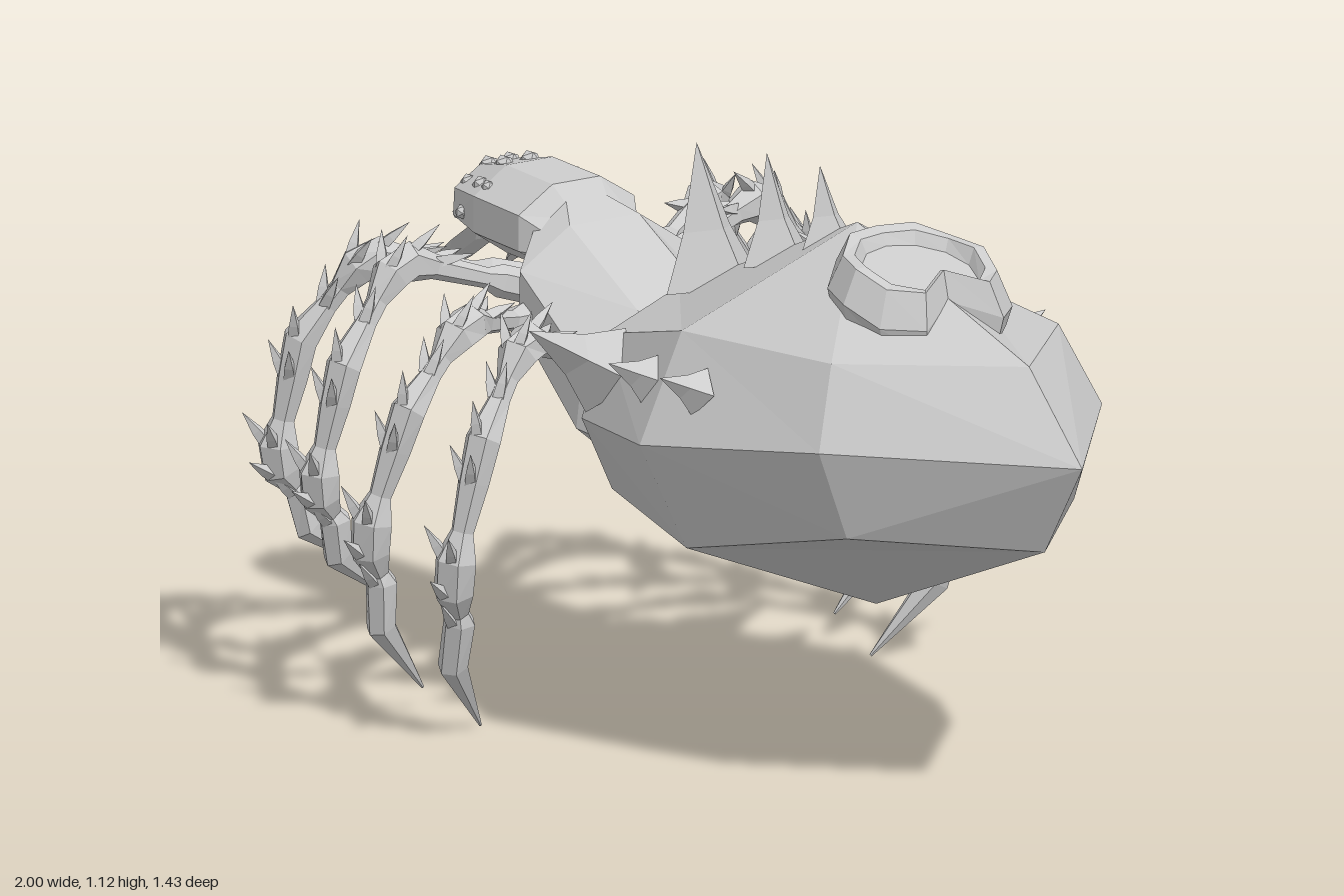
import * as THREE from 'three';

const V = (x, y, z) => new THREE.Vector3(x, y, z);
const material = new THREE.MeshStandardMaterial({ color: 0xcccccc, flatShading: true });

function add(parent, name, geometry) {
  const mesh = new THREE.Mesh(geometry, material);
  mesh.name = name;
  parent.add(mesh);
  return mesh;
}

// Closed faceted skin through equal-sized rings of points, wound outwards
function loft(rings) {
  const tris = [];
  const n = rings[0].length;
  for (let i = 0; i < rings.length - 1; i++) {
    for (let j = 0; j < n; j++) {
      const k = (j + 1) % n;
      const a = rings[i][j], b = rings[i][k], c = rings[i + 1][k], d = rings[i + 1][j];
      tris.push([a, b, c], [a, c, d]);
    }
  }
  const cap = (ring, flip) => {
    const mid = ring.reduce((s, p) => s.add(p), V(0, 0, 0)).divideScalar(n);
    ring.forEach((p, j) => {
      const q = ring[(j + 1) % n];
      tris.push(flip ? [mid, q, p] : [mid, p, q]);
    });
  };
  cap(rings[0], true);
  cap(rings[rings.length - 1], false);
  const origin = rings[0][0];
  let volume = 0;
  for (const t of tris) {
    const [a, b, c] = t.map(p => p.clone().sub(origin));
    volume += a.dot(b.cross(c));
  }
  const points = tris.flatMap(t => (volume < 0 ? [t[0], t[2], t[1]] : t));
  const geometry = new THREE.BufferGeometry().setFromPoints(points);
  geometry.computeVertexNormals();
  return geometry;
}

// Octagonal section spanning a top and a bottom point, with a half width
function section([tx, ty, bx, by, hw]) {
  return Array.from({ length: 8 }, (_, i) => {
    const a = (i + 0.5) * Math.PI / 4, s = Math.sin(a) / 0.924, c = Math.cos(a) / 0.924;
    return V((tx + bx) / 2 + s * (tx - bx) / 2, (ty + by) / 2 + s * (ty - by) / 2, c * hw);
  });
}

// Mirrors half a ring (top to bottom centre) across z
function mirrored(half) {
  const right = half.map(p => V(...p));
  const left = right.slice(1, -1).reverse().map(p => V(p.x, p.y, -p.z));
  return [...right, ...left];
}

// Four-sided spike from a base centre to a tip; flare narrows it into a thorn
function spike(parent, name, base, tip, radius, flare = 0.6) {
  const dir = tip.clone().sub(base), h = dir.length();
  const profile = [[radius, 0], [radius * flare, h * 0.4], [0, h]].map(p => new THREE.Vector2(...p));
  const mesh = add(parent, name, new THREE.LatheGeometry(profile, 4));
  mesh.position.copy(base);
  mesh.quaternion.setFromUnitVectors(V(0, 1, 0), dir.normalize());
}

// One leg: thin links, swollen knee and ankle, curved claw, rows of bristles
function buildLeg(side, hip, knee, shin, ankle, tip) {
  const leg = new THREE.Group();
  leg.name = 'leg';
  const [h, k, s, a, t] = [hip, knee, shin, ankle, tip].map(p => V(p[0], p[1], p[2] * side));
  const mix = (p, q, f) => p.clone().lerp(q, f);
  const bend = mix(a, t, 0.5).add(V(0, -0.02, side * 0.03));
  const path = [
    [h, 0.032], [mix(h, k, 0.3), 0.032], [mix(h, k, 0.4), 0.02], [mix(h, k, 0.75), 0.024],
    [mix(h, k, 0.92), 0.04], [mix(k, s, 0.15), 0.04], [mix(k, s, 0.4), 0.022],
    [mix(k, s, 0.6), 0.022], [s, 0.036], [mix(s, a, 0.3), 0.032], [mix(s, a, 0.65), 0.023],
    [mix(s, a, 0.85), 0.042], [mix(a, t, 0.08), 0.04], [mix(a, t, 0.22), 0.022],
    [mix(a, t, 0.28), 0.032], [bend, 0.03], [t, 0.003],
  ];
  // Bristles lie back along the outer face
  const bristles = [3, 4, 5, 7, 8, 9, 11, 12, 14];
  const rings = path.map(([p, r], i) => {
    const before = path[Math.max(0, i - 1)][0], after = path[Math.min(path.length - 1, i + 1)][0];
    const along = after.clone().sub(before).normalize();
    const u = V(1, 0, 0).cross(along).normalize(), v = along.clone().cross(u);
    if (bristles.includes(i)) {
      for (const sx of i % 2 ? [-1, 1] : [0.3]) {
        const out = u.clone().multiplyScalar(-side).addScaledVector(v, sx * 0.7).normalize();
        const base = p.clone().addScaledVector(out, r * 0.5);
        const end = p.clone().addScaledVector(out, r + 0.028).addScaledVector(along, -0.06);
        spike(leg, 'bristle', base, end, 0.015, 0.8);
      }
    }
    return Array.from({ length: 6 }, (_, j) => {
      const w = j * Math.PI / 3;
      return p.clone().addScaledVector(u, r * Math.cos(w)).addScaledVector(v, r * Math.sin(w));
    });
  });
  add(leg, 'limb', loft(rings));
  return leg;
}

export function createModel() {
  const model = new THREE.Group();
  model.name = 'spider';
  const body = new THREE.Group();
  body.name = 'body';
  body.position.z = 0.02;
  model.add(body);

  // Abdomen: faceted teardrop pointing backwards
  const tail = V(1, 0.705, 0);
  add(body, 'abdomen', loft([
    mirrored([[-0.29, 0.8, 0], [-0.17, 0.77, 0.26], [-0.15, 0.62, 0.33], [-0.19, 0.46, 0.23], [-0.22, 0.39, 0]]),
    mirrored([[0.28, 1.04, 0], [0.17, 0.855, 0.33], [0.18, 0.65, 0.435], [0.2, 0.44, 0.34], [0.34, 0.31, 0]]),
    mirrored([[0.83, 0.87, 0], [0.56, 0.86, 0.265], [0.61, 0.705, 0.33], [0.61, 0.53, 0.265], [0.88, 0.52, 0]]),
    Array.from({ length: 8 }, () => tail.clone()),
  ]));

  // Thorax slopes down from the head to the abdomen
  add(body, 'thorax', loft([
    [-0.59, 0.91, -0.63, 0.77, 0.11], [-0.53, 0.88, -0.54, 0.63, 0.195],
    [-0.31, 0.76, -0.36, 0.45, 0.2], [-0.22, 0.72, -0.27, 0.43, 0.16],
  ].map(section)));

  // Head
  add(body, 'head', loft([
    [-0.91, 0.865, -0.91, 0.81, 0.065], [-0.87, 0.925, -0.88, 0.795, 0.1],
    [-0.77, 0.945, -0.77, 0.775, 0.13], [-0.62, 0.938, -0.62, 0.77, 0.135],
    [-0.56, 0.88, -0.56, 0.79, 0.1],
  ].map(section)));

  for (const side of [-1, 1]) {
    // Fangs
    add(body, 'fang', loft([
      [-0.8, 0.83, 0.06], [-0.86, 0.78, 0.06], [-0.925, 0.735, 0.038], [-1, 0.68, 0.002],
    ].map(([x, y, r], i) => Array.from({ length: 5 }, (_, j) => {
      const w = j * Math.PI * 0.4;
      return V(x + r * Math.cos(w) * 0.5, y + r * Math.cos(w) * 0.75,
        side * ([0.06, 0.08, 0.09, 0.11][i]) + r * Math.sin(w) * 0.75);
    }))));
    // Cluster of eyes over the front of the head
    const eyes = [[-0.9, 0.865, 0.03, 0.018], [-0.895, 0.83, 0.07, 0.016], [-0.865, 0.92, 0.025, 0.021],
      [-0.86, 0.895, 0.075, 0.019], [-0.81, 0.933, 0.03, 0.021], [-0.8, 0.905, 0.09, 0.019],
      [-0.83, 0.85, 0.113, 0.015], [-0.765, 0.91, 0.1, 0.014]];
    for (const [x, y, z, r] of eyes) {
      add(body, 'eye', new THREE.IcosahedronGeometry(r, 0)).position.set(x, y, z * side);
    }
    // Spikes along the flanks
    spike(body, 'sideSpike', V(-0.1, 0.72, 0.31 * side), V(-0.08, 0.83, 0.505 * side), 0.088, 0.48);
    spike(body, 'sideSpike', V(0.11, 0.75, 0.355 * side), V(0.1, 0.795, 0.45 * side), 0.052, 0.48);
    spike(body, 'sideSpike', V(0.27, 0.76, 0.36 * side), V(0.265, 0.8, 0.45 * side), 0.048, 0.48);
  }

  // Spikes along the back
  spike(body, 'backSpike', V(-0.18, 0.82, 0), V(-0.235, 1.09, 0), 0.11, 0.5);
  spike(body, 'backSpike', V(0.025, 0.91, 0), V(-0.01, 1.115, 0), 0.08, 0.45);
  spike(body, 'backSpike', V(0.19, 0.97, 0), V(0.16, 1.125, 0), 0.065, 0.45);

  // Hollow crater on top, notched towards the tail, rim sagging at the sides
  const craterRing = (scale, yAt) => Array.from({ length: 12 }, (_, i) => {
    const w = i * Math.PI / 6;
    const x = 0.48 + scale * (i === 0 ? 0.09 : 0.165 * Math.cos(w));
    const z = scale * 0.175 * Math.sin(w);
    return V(x, yAt(x, Math.abs(z)), z);
  });
  const rim = (x, z) => 1.045 - Math.max(0, x - 0.48) * 0.55 - Math.max(0, z - 0.08) * 0.5;
  add(body, 'crater', loft([
    craterRing(0.95, x => 0.89 - (x - 0.48) * 0.2),
    craterRing(1.02, (x, z) => rim(x, z) - 0.05),
    craterRing(0.85, rim),
    craterRing(0.72, (x, z) => rim(x, z) - 0.01),
    craterRing(0.65, x => 0.98 - (x - 0.48) * 0.3),
  ]));

  // Four pairs of legs: hip, knee, shin, ankle, tip
  const legs = [
    [[-0.59, 0.76, 0.12], [-0.77, 0.82, 0.4], [-0.83, 0.66, 0.51], [-0.86, 0.42, 0.55], [-0.82, 0.2, 0.36]],
    [[-0.575, 0.75, 0.13], [-0.64, 0.84, 0.42], [-0.61, 0.66, 0.57], [-0.64, 0.42, 0.615], [-0.665, 0.185, 0.43]],
    [[-0.56, 0.7, 0.14], [-0.42, 0.76, 0.43], [-0.39, 0.62, 0.58], [-0.43, 0.37, 0.65], [-0.48, 0.05, 0.48]],
    [[-0.36, 0.66, 0.15], [-0.24, 0.765, 0.42], [-0.19, 0.6, 0.55], [-0.21, 0.33, 0.61], [-0.33, 0.003, 0.455]],
  ];
  for (const side of [-1, 1]) for (const leg of legs) model.add(buildLeg(side, ...leg));

  return model;
}
